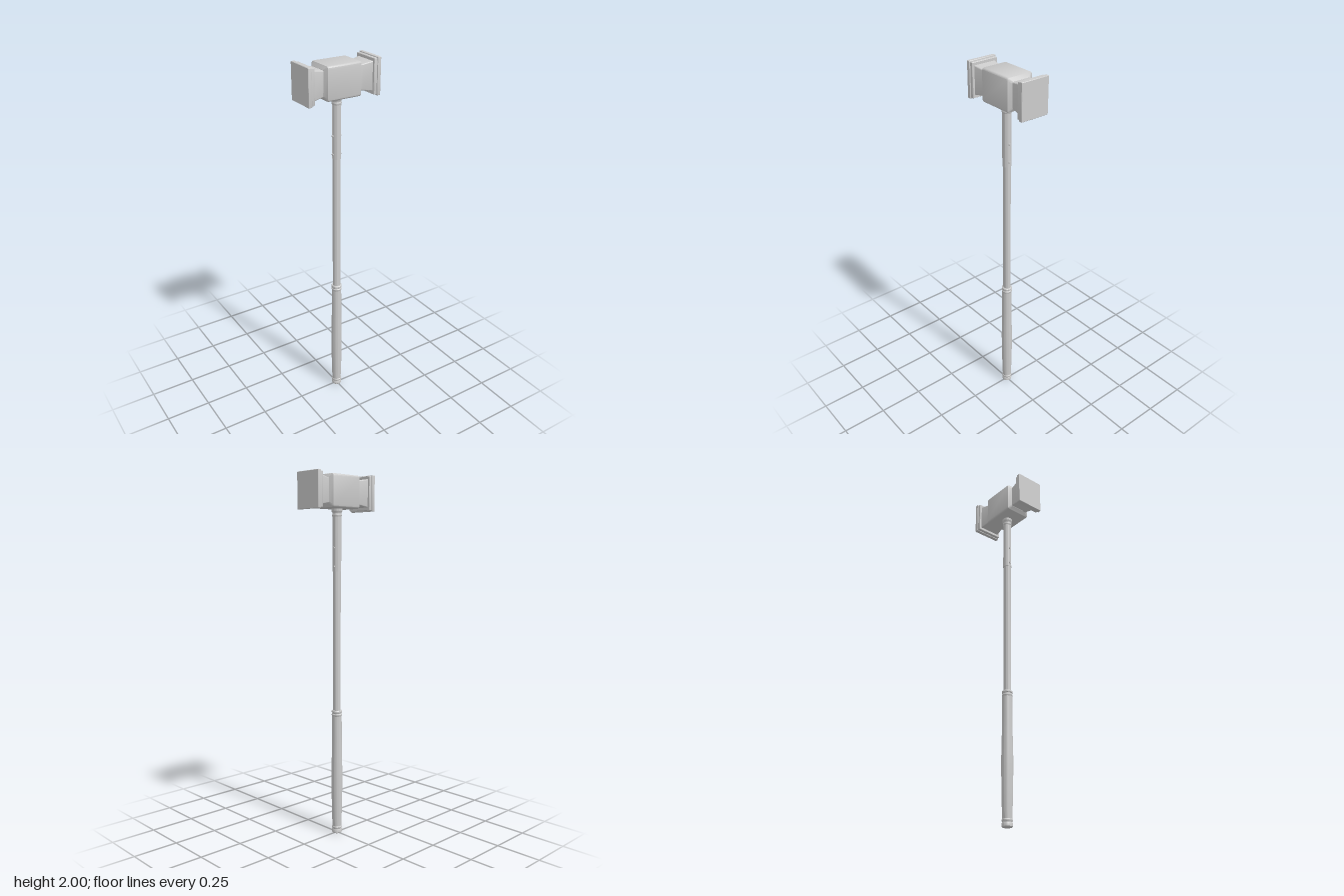
import * as THREE from 'three';
import { toCreasedNormals } from 'three/addons/utils/BufferGeometryUtils.js';

const HEAD_Y = 1.904;
const material = new THREE.MeshStandardMaterial({ color: 0xcccccc, roughness: 0.7 });
const shellMaterial = new THREE.MeshStandardMaterial({ color: 0xcccccc, roughness: 0.7, side: THREE.DoubleSide });

function addMesh(parent, name, geometry, mat = material) {
  const mesh = new THREE.Mesh(geometry, mat);
  mesh.name = name;
  parent.add(mesh);
  return mesh;
}

// Rounded rectangle loop in the y-z plane at a given x
function section([x, halfY, halfZ, r]) {
  const points = [];
  const corners = [[1, 1], [-1, 1], [-1, -1], [1, -1]];
  corners.forEach(([sy, sz], c) => {
    for (let i = 0; i <= 4; i++) {
      const a = (c + i / 4) * Math.PI / 2;
      points.push(x, sy * (halfY - r) + r * Math.cos(a), sz * (halfZ - r) + r * Math.sin(a));
    }
  });
  return points;
}

// Skin through sections ordered along +x, capped at both ends
function loft(sections) {
  const n = 20, position = sections.flatMap(section), index = [];
  for (let s = 0; s < sections.length - 1; s++) {
    for (let i = 0; i < n; i++) {
      const a = s * n + i, b = s * n + (i + 1) % n;
      index.push(a, b, a + n, b, b + n, a + n);
    }
  }
  const last = (sections.length - 1) * n;
  for (let i = 1; i < n - 1; i++) {
    index.push(0, i + 1, i);
    index.push(last, last + i, last + i + 1);
  }
  const geometry = new THREE.BufferGeometry();
  geometry.setAttribute('position', new THREE.Float32BufferAttribute(position, 3));
  geometry.setIndex(index);
  return toCreasedNormals(geometry, 0.5);
}

function lathe(profile, segments = 32, start = 0, sweep = Math.PI * 2) {
  const points = profile.map(([r, y]) => new THREE.Vector2(r, y));
  return toCreasedNormals(new THREE.LatheGeometry(points, segments, start, sweep), 0.6);
}

function createHead() {
  const head = new THREE.Group();
  head.name = 'head';
  head.position.y = HEAD_Y;

  // Central block with sloping shoulders
  addMesh(head, 'headBlock', loft([
    [-0.109, 0.066, 0.056, 0.008],
    [-0.096, 0.085, 0.075, 0.013],
    [-0.091, 0.087, 0.077, 0.014],
    [0.091, 0.087, 0.077, 0.014],
    [0.096, 0.085, 0.075, 0.013],
    [0.109, 0.066, 0.056, 0.008]
  ]));

  // Flared neck, stepped collar and striking plate on each end
  for (const [side, turn] of [['left', 0], ['right', Math.PI]]) {
    const end = new THREE.Group();
    end.name = side + 'StrikingEnd';
    end.rotation.y = turn;
    head.add(end);
    addMesh(end, 'neck', loft([
      [0.1, 0.064, 0.054, 0.005],
      [0.12, 0.066, 0.056, 0.005],
      [0.175, 0.076, 0.065, 0.005]
    ]));
    addMesh(end, 'collar', loft([
      [0.171, 0.089, 0.075, 0.003],
      [0.174, 0.091, 0.077, 0.003],
      [0.19, 0.091, 0.077, 0.003]
    ]));
    addMesh(end, 'strikingPlate', loft([
      [0.188, 0.094, 0.08, 0.003],
      [0.19, 0.096, 0.082, 0.003],
      [0.207, 0.096, 0.082, 0.003],
      [0.209, 0.094, 0.08, 0.003]
    ]));
  }
  return head;
}

function createHandle() {
  const handle = new THREE.Group();
  handle.name = 'handle';

  // Slightly oval shaft
  const shaft = addMesh(handle, 'shaft', lathe([[0, 0.68], [0.022, 0.68], [0.022, 1.83], [0, 1.83]]));
  shaft.scale.z = 0.91;

  // Socket under the head
  addMesh(handle, 'socket', lathe([
    [0, 1.775], [0.024, 1.775], [0.026, 1.78], [0.026, 1.786], [0.024, 1.79],
    [0.025, 1.797], [0.029, 1.803], [0.029, 1.825], [0, 1.825]
  ]));

  // Reinforcing strips on front and back, with a seam at each side
  for (const [name, start] of [['frontStrip', -1.25], ['backStrip', Math.PI - 1.25]]) {
    addMesh(handle, name, lathe([
      [0.019, 1.485], [0.0235, 1.485], [0.0235, 1.79], [0.019, 1.79]
    ], 16, start, 2.5), shellMaterial);
  }

  // Rivets through the sides
  for (const y of [1.51, 1.61]) {
    const rivet = addMesh(handle, 'rivet', new THREE.CylinderGeometry(0.006, 0.006, 0.053, 12));
    rivet.rotation.z = Math.PI / 2;
    rivet.position.y = y;
  }

  // Swelling grip with end rings
  addMesh(handle, 'grip', lathe([
    [0, 0.035], [0.025, 0.035], [0.027, 0.08], [0.029, 0.17], [0.031, 0.28],
    [0.031, 0.36], [0.029, 0.45], [0.0275, 0.55], [0.027, 0.69], [0, 0.69]
  ]));
  addMesh(handle, 'upperRings', lathe([
    [0, 0.682], [0.027, 0.682], [0.029, 0.686], [0.029, 0.692], [0.026, 0.696],
    [0.026, 0.701], [0.029, 0.704], [0.029, 0.711], [0.026, 0.715], [0, 0.715]
  ]));
  addMesh(handle, 'pommel', lathe([
    [0, 0], [0.025, 0], [0.028, 0.004], [0.028, 0.02], [0.025, 0.025],
    [0.028, 0.03], [0.028, 0.037], [0.025, 0.041], [0, 0.041]
  ]));
  return handle;
}

export function createModel() {
  const model = new THREE.Group();
  model.name = 'hammer';
  model.add(createHead(), createHandle());
  return model;
}
